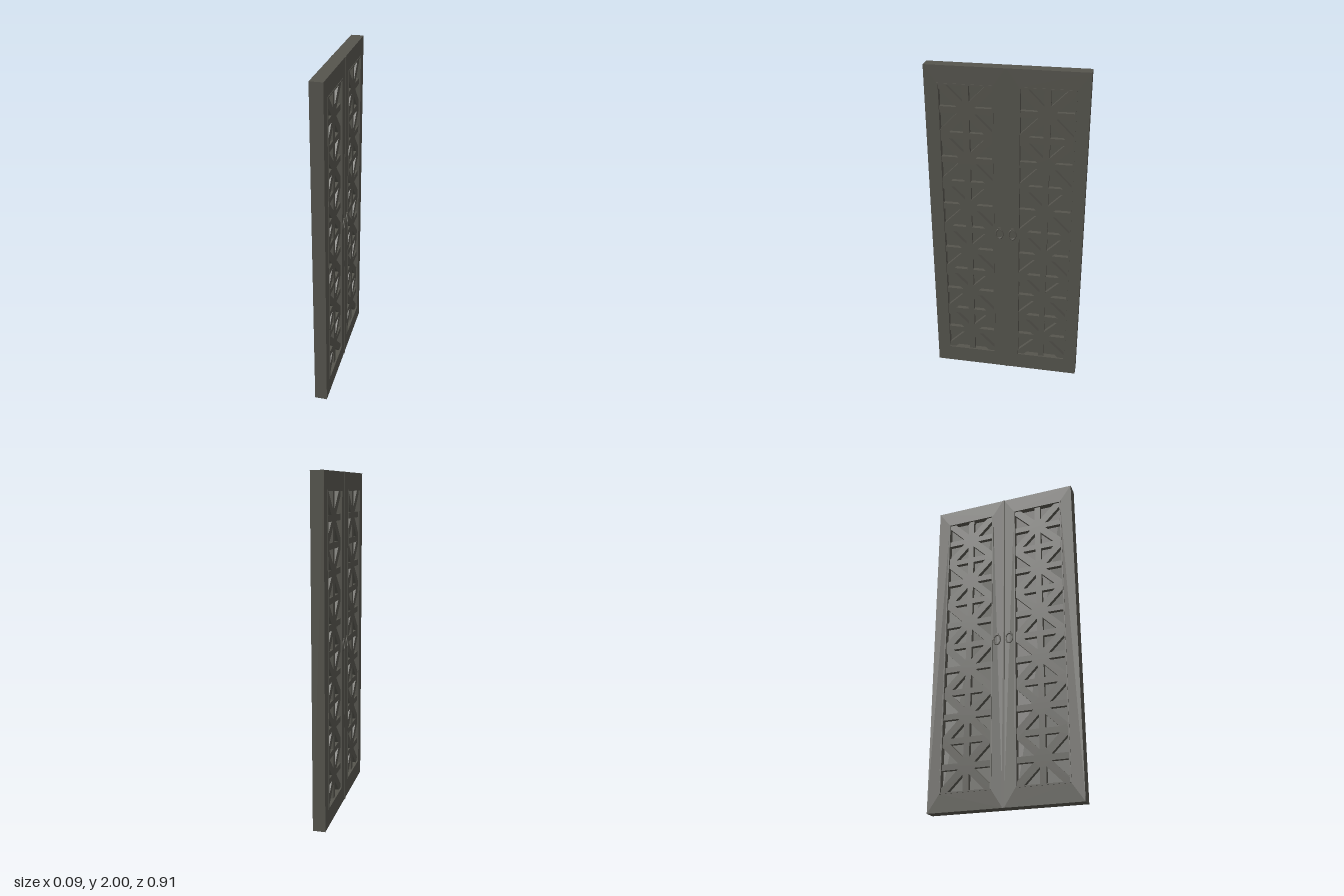
import * as THREE from 'three';

const HALF = 0.037;                                  // half thickness of a door leaf
const OPEN = { a: 0.072, b: 0.382, bottom: 0.105, top: 1.9 }; // panel opening
const CELLS = 6;

function rect(target, x0, y0, x1, y1) {
  target.moveTo(x0, y0);
  target.lineTo(x1, y0);
  target.lineTo(x1, y1);
  target.lineTo(x0, y1);
  target.closePath();
  return target;
}

// Extrude a drawing of the leaf (width, height) centred through the thickness
function slab(shape, halfDepth) {
  const g = new THREE.ExtrudeGeometry(shape, { depth: halfDepth * 2, bevelEnabled: false });
  g.translate(0, 0, -halfDepth);
  return g.rotateY(-Math.PI / 2);                    // width -> +z
}

function frameShape(x0, y0, x1, y1, h) {
  const s = rect(new THREE.Shape(), x0, y0, x1, y1);
  s.holes.push(rect(new THREE.Path(), h.x0, h.y0, h.x1, h.y1));
  return s;
}

// Eight triangular openings around a star in every cell
function latticeShape() {
  const { a, b, bottom, top } = OPEN;
  const s = rect(new THREE.Shape(), a, bottom, b, top);
  const cx = (a + b) / 2, hw = (b - a) / 2 - 0.003;
  const cell = (top - bottom) / CELLS, bar = 0.018, diag = 0.032;
  const tri = (pts) => s.holes.push(new THREE.Path(pts.map(([x, y]) => new THREE.Vector2(x, y))));
  for (let i = 0; i < CELLS; i++) {
    const cy = bottom + cell * (i + 0.5);
    for (const sx of [-1, 1]) for (const sy of [-1, 1]) {
      const outer = (i === 0 && sy < 0) || (i === CELLS - 1 && sy > 0);
      const hh = cell / 2 - (outer ? 0.003 : bar);
      const at = (x, y) => [cx + sx * x, cy + sy * y];
      // beside the upright bar
      tri([at(bar, bar + diag), at(bar, hh), at(hh - diag, hh)]);
      // beside the level bar
      tri([at(bar + diag, bar), at(hw, bar), at(hw, hw - diag)]);
    }
  }
  return s;
}

export function createModel() {
  const model = new THREE.Group();
  model.name = 'doubleDoor';
  const wood = new THREE.MeshStandardMaterial({ color: 0x55544d });
  wood.name = 'dark grey';

  const add = (parent, geometry, name, x = 0, y = 0, z = 0) => {
    const m = new THREE.Mesh(geometry, wood);
    m.name = name;
    m.position.set(x, y, z);
    parent.add(m);
    return m;
  };

  const { a, b, bottom, top } = OPEN;
  const midZ = (a + b) / 2, midY = (bottom + top) / 2;
  const frame = slab(frameShape(0.004, 0, 0.455, 2, { x0: a, y0: bottom, x1: b, y1: top }), HALF);
  const lattice = slab(latticeShape(), 0.03);
  const e = 0.006;
  const moulding = slab(frameShape(a - 0.002, bottom - 0.002, b + 0.002, top + 0.002,
    { x0: a + e, y0: bottom + e, x1: b - e, y1: top - e }), 0.04);

  for (const side of [1, -1]) {
    const leaf = new THREE.Group();
    leaf.name = side > 0 ? 'frontLeaf' : 'backLeaf';
    add(leaf, frame, 'leafFrame');
    add(leaf, lattice, 'starLattice');
    add(leaf, moulding, 'panelMoulding');
    add(leaf, new THREE.BoxGeometry(0.01, top - bottom, b - a), 'backingPanel', 0, midY, midZ);

    // Drop ring pulls on both faces
    for (const face of [1, -1]) {
      const pull = new THREE.Group();
      pull.name = 'ringPull';
      const ring = add(pull, new THREE.TorusGeometry(0.021, 0.004, 8, 24), 'ring', face * 0.041, 1.0, 0);
      ring.rotation.y = Math.PI / 2;
      ring.scale.set(1, 1.45, 1);
      add(pull, new THREE.BoxGeometry(0.01, 0.014, 0.014), 'ringMount', face * 0.041, 1.034, 0);
      pull.position.z = 0.039;
      leaf.add(pull);
    }
    // Turning half round keeps both leaves the right way out
    if (side < 0) leaf.rotation.y = Math.PI;
    model.add(leaf);
  }

  // Cover strip where the leaves meet
  add(model, new THREE.BoxGeometry(0.08, 2, 0.018), 'meetingStrip', 0, 1, 0);
  return model;
}
